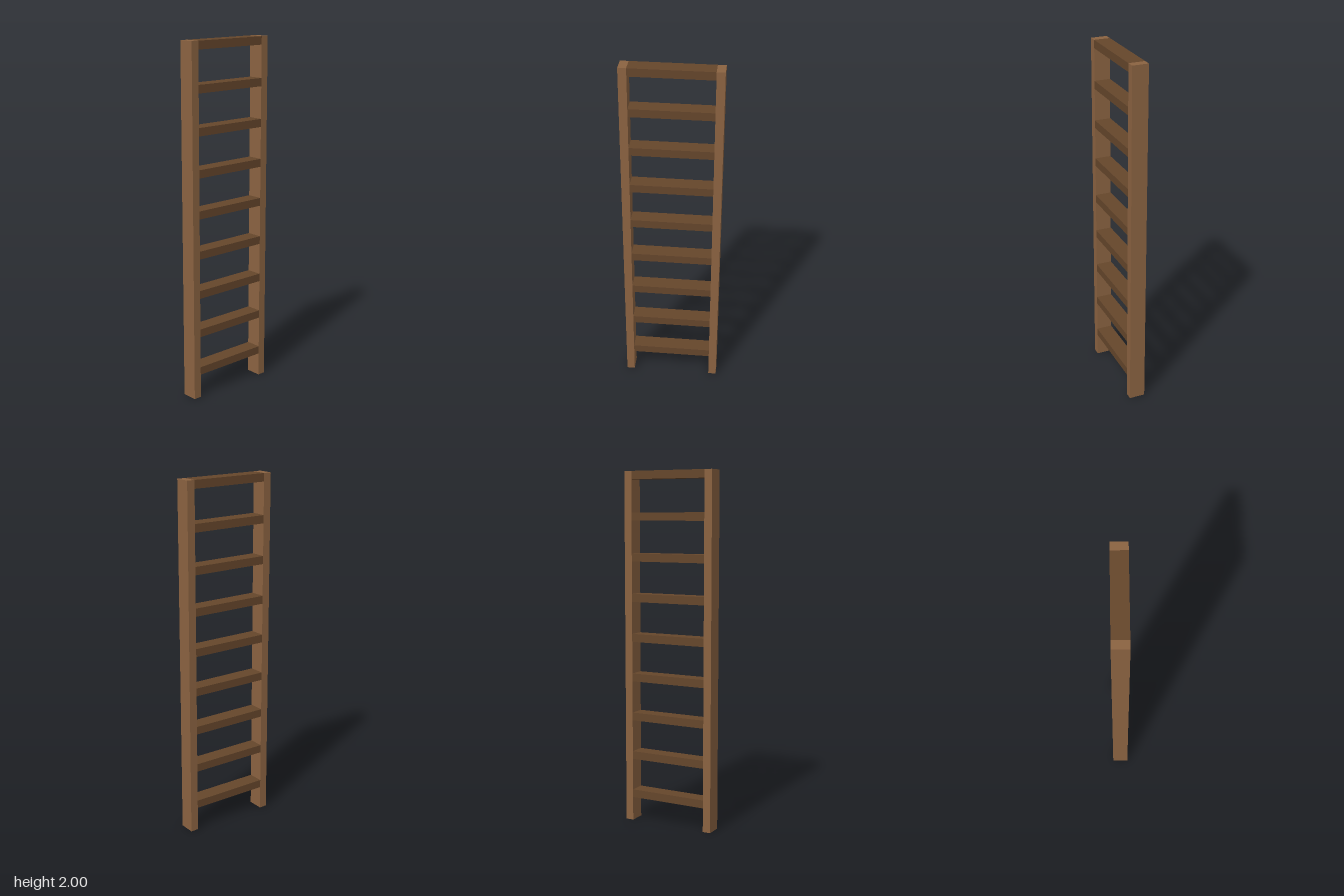
import * as THREE from 'three';

const UNIT = 1 / 22; // plank thickness
const HEIGHT = 2;
const DEPTH = 2 * UNIT;
const RUNG_COUNT = 9;
const RUNG_SPACING = 5 * UNIT;
const RUNG_LENGTH = 10 * UNIT;

export function createModel() {
  const ladder = new THREE.Group();
  ladder.name = 'ladder';

  const railWood = new THREE.MeshStandardMaterial({ color: 0x8b6341 });
  railWood.name = 'light brown wood';
  const rungWood = new THREE.MeshStandardMaterial({ color: 0x65462b });
  rungWood.name = 'dark brown wood';

  // Side rails
  const railGeometry = new THREE.BoxGeometry(UNIT, HEIGHT, DEPTH);
  for (const side of [1, -1]) {
    const rail = new THREE.Mesh(railGeometry, railWood);
    rail.name = side > 0 ? 'leftRail' : 'rightRail';
    rail.position.set(side * (RUNG_LENGTH + UNIT) / 2, HEIGHT / 2, 0);
    ladder.add(rail);
  }

  // Rungs, evenly spaced down from the flush top rung
  const rungGeometry = new THREE.BoxGeometry(RUNG_LENGTH, UNIT, DEPTH);
  for (let i = 0; i < RUNG_COUNT; i++) {
    const rung = new THREE.Mesh(rungGeometry, rungWood);
    rung.name = `rung${i + 1}`;
    rung.position.y = HEIGHT - UNIT / 2 - i * RUNG_SPACING;
    ladder.add(rung);
  }

  return ladder;
}
